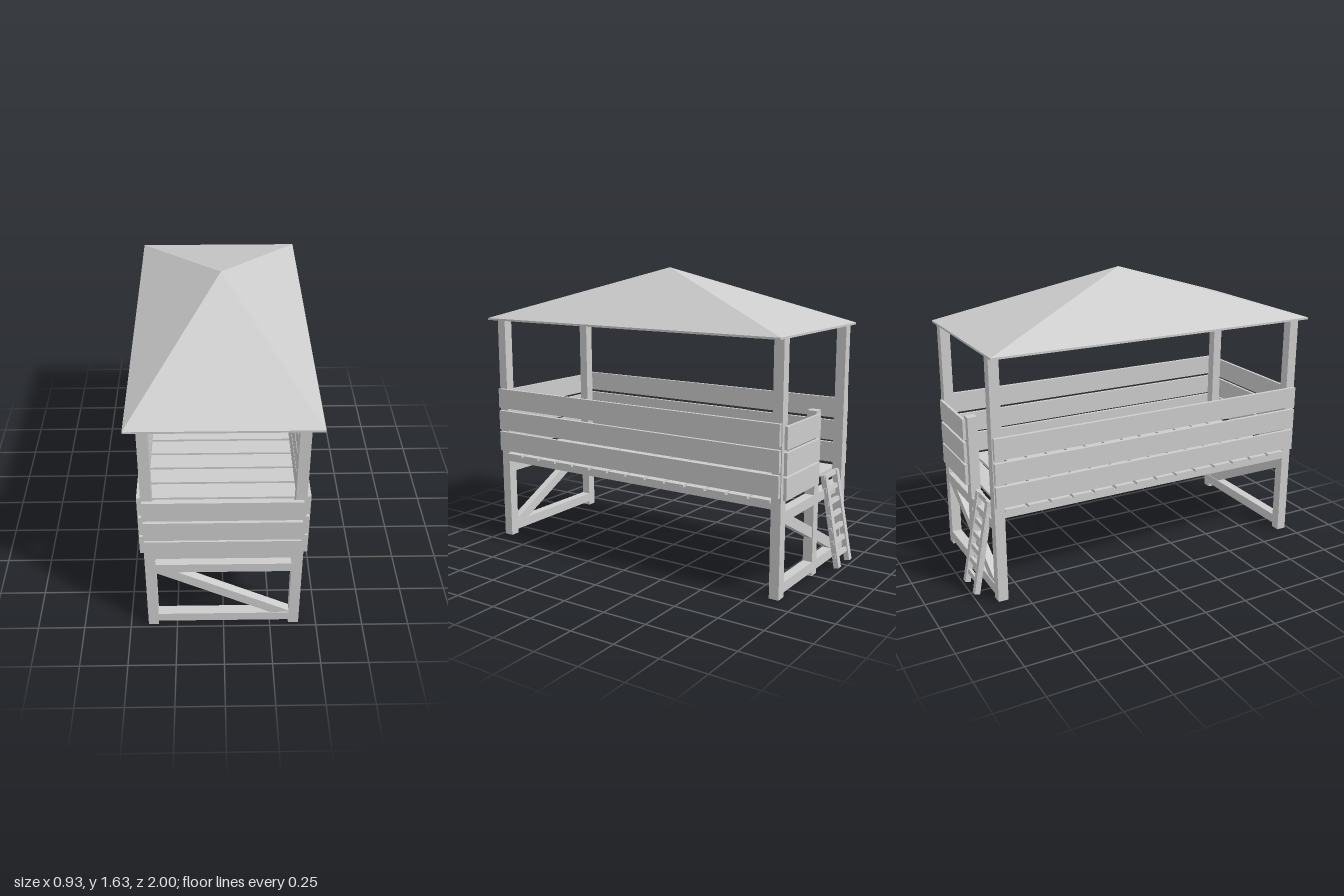
import * as THREE from 'three';

const material = new THREE.MeshStandardMaterial({ color: 0xcccccc, flatShading: true });

export function createModel() {
  const model = new THREE.Group();
  model.name = 'coveredTower';

  const add = (name, geometry, parent = model) => {
    const mesh = new THREE.Mesh(geometry, material);
    mesh.name = name;
    parent.add(mesh);
    return mesh;
  };
  // Box given by its extents on each axis
  const beam = (name, [x0, x1], [y0, y1], [z0, z1], parent = model) => {
    const mesh = add(name, new THREE.BoxGeometry(x1 - x0, y1 - y0, z1 - z0), parent);
    mesh.position.set((x0 + x1) / 2, (y0 + y1) / 2, (z0 + z1) / 2);
    return mesh;
  };

  const frontZ = [0.925, 0.98];
  const backZ = [-0.9, -0.845];
  const leftX = [0.35, 0.405];
  const rightX = [-0.405, -0.35];

  // Corner posts and the shorter post beside the entrance
  for (const x of [leftX, rightX]) {
    for (const z of [frontZ, backZ]) beam('cornerPost', x, [0, 1.33], z);
    beam('floorJoist', x, [0.47, 0.505], [backZ[1], frontZ[0]]);
  }
  beam('entrancePost', [-0.045, 0.01], [0, 0.91], backZ);

  // End frames: two rails and a diagonal brace cut to fit between them
  const braceShape = new THREE.Shape([
    [-0.35, 0.4], [-0.35, 0.39], [0.25, 0.08], [0.35, 0.08], [0.35, 0.09], [-0.25, 0.4],
  ].map(([x, y]) => new THREE.Vector2(x, y)));
  for (const z of [frontZ, backZ]) {
    beam('lowerRail', [-0.35, 0.35], [0.025, 0.08], z);
    beam('upperRail', [-0.35, 0.35], [0.4, 0.455], z);
    const depth = 0.045;
    const brace = add('diagonalBrace', new THREE.ExtrudeGeometry(braceShape, { depth, bevelEnabled: false })
      .translate(0, 0, -depth / 2));
    brace.position.z = (z[0] + z[1]) / 2;
    if (z === backZ) brace.rotation.y = Math.PI;
  }

  // Floor planks
  const plankCount = 14;
  const pitch = 0.1275;
  for (let i = 0; i < plankCount; i++) {
    const z = -0.845 + i * pitch;
    beam('floorPlank', [-0.415, 0.42], [0.505, 0.52], [z, z + 0.1125]);
  }

  // Railing boards: long sides, closed front, half-closed back
  for (const y of [0.537, 0.665, 0.797]) {
    const sideY = [y, y + 0.115];
    const endY = [y - 0.02, y + 0.097];
    beam('leftRailingBoard', [0.405, 0.425], sideY, [-0.895, 0.975]);
    beam('rightRailingBoard', [-0.425, -0.405], sideY, [-0.895, 0.975]);
    beam('frontRailingBoard', [-0.4, 0.39], endY, [0.98, 0.997]);
    beam('backRailingBoard', [-0.01, 0.38], endY, [-0.917, -0.9]);
  }

  // Ladder leaning on the entrance
  const ladder = new THREE.Group();
  ladder.name = 'ladder';
  const length = 0.52;
  for (const x of [-0.31, -0.16]) beam('ladderRail', [x, x + 0.033], [0, length], [-0.015, 0.015], ladder);
  for (let i = 0; i < 7; i++) {
    const y = 0.055 + i * 0.0735;
    beam('ladderRung', [-0.313, -0.12], [y, y + 0.025], [-0.009, 0.009], ladder);
  }
  ladder.position.set(0, 0.018, -0.983);
  ladder.rotation.x = Math.atan(0.187);
  model.add(ladder);

  // Hipped roof: thin eave slab and a pyramid with its peak set slightly back
  beam('roofEave', [-0.465, 0.465], [1.325, 1.336], [-0.908, 1]);
  const height = 0.299;
  const pyramid = new THREE.ConeGeometry(Math.SQRT1_2, height, 4, 1)
    .rotateY(Math.PI / 4).scale(0.93, 1, 1.908).translate(0, height / 2, 0);
  const p = pyramid.attributes.position;
  for (let i = 0; i < p.count; i++) if (p.getY(i) > height / 2) p.setZ(i, p.getZ(i) - 0.02);
  pyramid.computeVertexNormals();
  add('roof', pyramid).position.set(0, 1.336, 0.046);

  return model;
}
